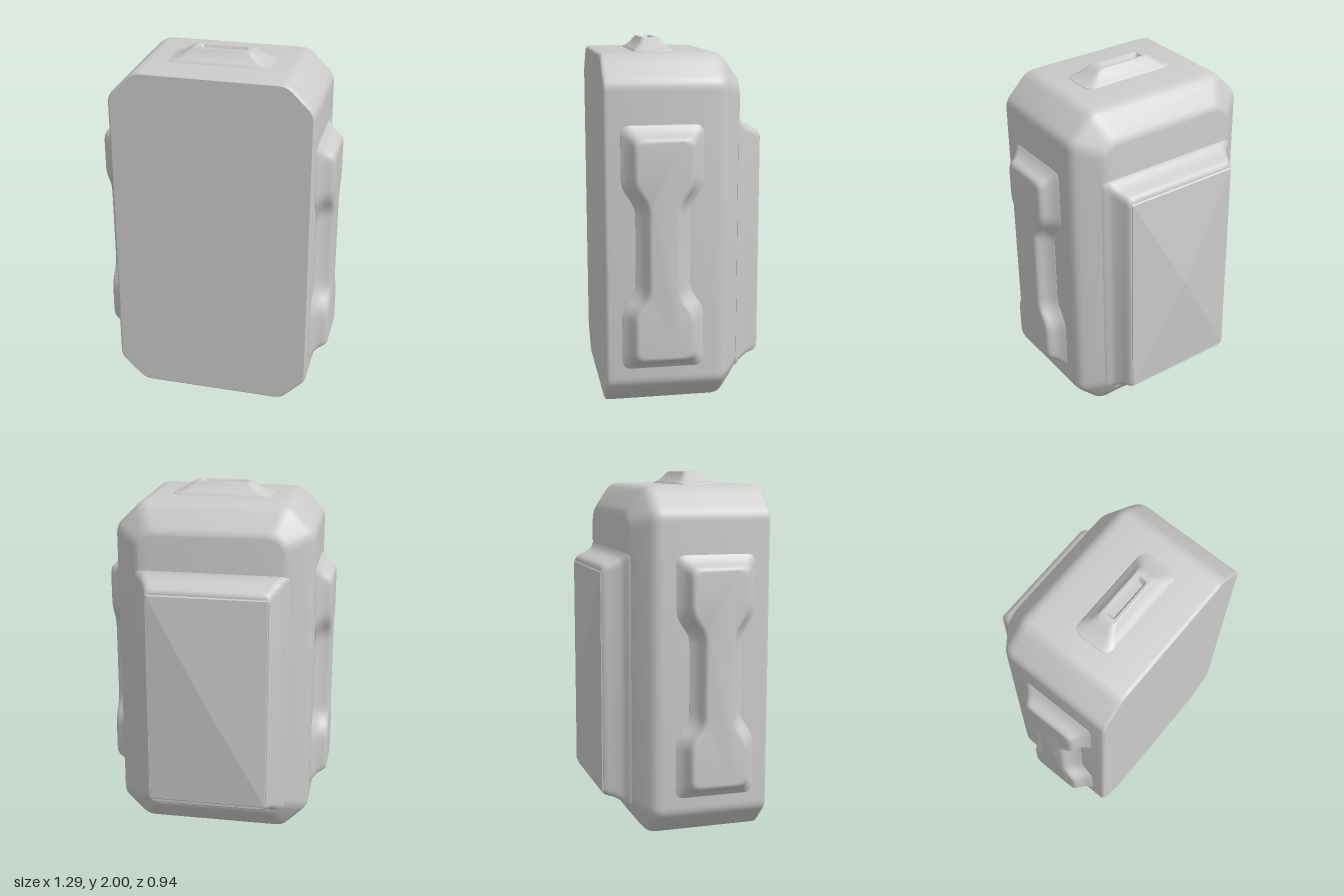
import * as THREE from 'three';
import { toCreasedNormals } from 'three/addons/utils/BufferGeometryUtils.js';

const material = new THREE.MeshStandardMaterial({ color: 0xcccccc });
const V = (x, y) => new THREE.Vector2(x, y);

// Counter-clockwise rectangle
const rect = (hx, y0, y1) => [V(hx, y0), V(hx, y1), V(-hx, y1), V(-hx, y0)];

// Moves every edge of a counter-clockwise outline inwards by d
function inset(pts, d) {
  return pts.map((p, i) => {
    const a = p.clone().sub(pts.at(i - 1)).normalize();
    const b = pts[(i + 1) % pts.length].clone().sub(p).normalize();
    const n = V(-a.y - b.y, a.x + b.x);
    return p.clone().addScaledVector(n, d / (1 + a.dot(b)));
  });
}

// Rounds the corners of an outline
function rounded(pts, r, steps = 5) {
  return pts.flatMap((p, i) => {
    const toward = (q) => {
      const dir = q.clone().sub(p);
      const len = dir.length();
      return p.clone().addScaledVector(dir, Math.min(r, len * 0.45) / len);
    };
    const curve = new THREE.QuadraticBezierCurve(toward(pts.at(i - 1)), p, toward(pts[(i + 1) % pts.length]));
    return curve.getPoints(steps);
  });
}

// Skins a list of { w, pts } cross-sections along +z and caps both ends
function loft(rings, crease = 0.6) {
  const n = rings[0].pts.length;
  const position = [];
  const index = [];
  rings.forEach(({ w, pts }) => pts.forEach((p) => position.push(p.x, p.y, w)));
  for (let i = 0; i < rings.length - 1; i++) {
    for (let j = 0; j < n; j++) {
      const k = (j + 1) % n;
      const a = i * n + j, b = i * n + k, c = a + n, d = b + n;
      index.push(a, b, d, a, d, c);
    }
  }
  const last = (rings.length - 1) * n;
  THREE.ShapeUtils.triangulateShape(rings[0].pts, []).forEach(([a, b, c]) => index.push(a, c, b));
  THREE.ShapeUtils.triangulateShape(rings.at(-1).pts, []).forEach(([a, b, c]) => index.push(last + a, last + b, last + c));
  const geometry = new THREE.BufferGeometry();
  geometry.setAttribute('position', new THREE.Float32BufferAttribute(position, 3));
  geometry.setIndex(index);
  return toCreasedNormals(geometry, crease);
}

function part(name, geometry) {
  const mesh = new THREE.Mesh(geometry, material);
  mesh.name = name;
  return mesh;
}

export function createModel() {
  const model = new THREE.Group();
  model.name = 'backpackCase';

  // Main shell: chamfered outline, flat front, bevelled towards the back
  const X = 0.555, Y = 1.93, C = 0.145;
  const octagon = [
    V(X, C), V(X, Y - C), V(X - C, Y), V(C - X, Y),
    V(-X, Y - C), V(-X, C), V(C - X, 0), V(X - C, 0),
  ];
  const shell = [
    [-0.293, 0.16], [-0.288, 0.142], [-0.275, 0.122], [-0.205, 0.034], [-0.19, 0.018], [-0.17, 0.006],
    [-0.14, 0], [0.445, 0], [0.457, 0.003], [0.465, 0.012],
  ].map(([w, d]) => ({ w, pts: rounded(inset(octagon, d), 0.04) }));
  model.add(part('body', loft(shell)));

  // Raised back panel: [depth, half width, bottom, top]
  const panel = [
    [0.28, 0.43, 0.165, 1.575], [0.294, 0.42, 0.17, 1.57], [0.305, 0.398, 0.18, 1.55],
    [0.325, 0.384, 0.19, 1.535], [0.36, 0.366, 0.208, 1.52], [0.39, 0.355, 0.215, 1.51],
    [0.408, 0.348, 0.222, 1.5], [0.418, 0.34, 0.23, 1.485],
  ].map(([w, hx, y0, y1]) => ({ w, pts: rounded(rect(hx, y0, y1), 0.04) }));
  const backPanel = part('backPanel', loft(panel));
  backPanel.rotation.y = Math.PI;
  model.add(backPanel);

  // Shallow pyramid cover on the back panel
  const cover = part('backCover', loft([
    { w: 0.41, pts: rect(0.338, 0.235, 1.48) },
    { w: 0.424, pts: rect(0.332, 0.25, 1.465) },
    { w: 0.47, pts: rect(0.004, 0.86, 0.874) },
  ], 0.05));
  cover.rotation.y = Math.PI;
  model.add(cover);

  // Waisted grips on both sides
  const half = [V(0.225, 0.235), V(0.225, 0.57), V(0.15, 0.67), V(0.15, 1.13), V(0.225, 1.24), V(0.225, 1.57)];
  const gripOutline = [...half, ...half.map((p) => V(-p.x, p.y)).reverse()];
  const gripGeometry = loft([
    [0.54, 0], [0.557, 0.003], [0.565, 0.014], [0.58, 0.032], [0.6, 0.048],
    [0.62, 0.057], [0.633, 0.064], [0.642, 0.073], [0.645, 0.085],
  ].map(([w, d]) => ({ w, pts: rounded(inset(gripOutline, d), 0.05) })));
  for (const [side, name] of [[1, 'leftGrip'], [-1, 'rightGrip']]) {
    const grip = part(name, gripGeometry);
    grip.rotation.y = side * Math.PI / 2;
    grip.position.z = 0.157;
    model.add(grip);
  }

  // Top handle: sloping mound with a slot sunk into its crest
  const mound = [
    [1.92, 0.285, 0.115], [1.933, 0.28, 0.11], [1.944, 0.245, 0.095], [1.965, 0.208, 0.073],
    [1.985, 0.18, 0.058], [1.997, 0.16, 0.05], [2, 0.146, 0.042], [1.997, 0.13, 0.028], [1.97, 0.115, 0.015],
  ].map(([w, hx, hz]) => ({ w, pts: rounded(rect(hx, -hz, hz), hz * 0.5) }));
  const handle = part('topHandle', loft(mound));
  handle.rotation.x = -Math.PI / 2;
  handle.position.z = 0.155;
  model.add(handle);

  return model;
}
